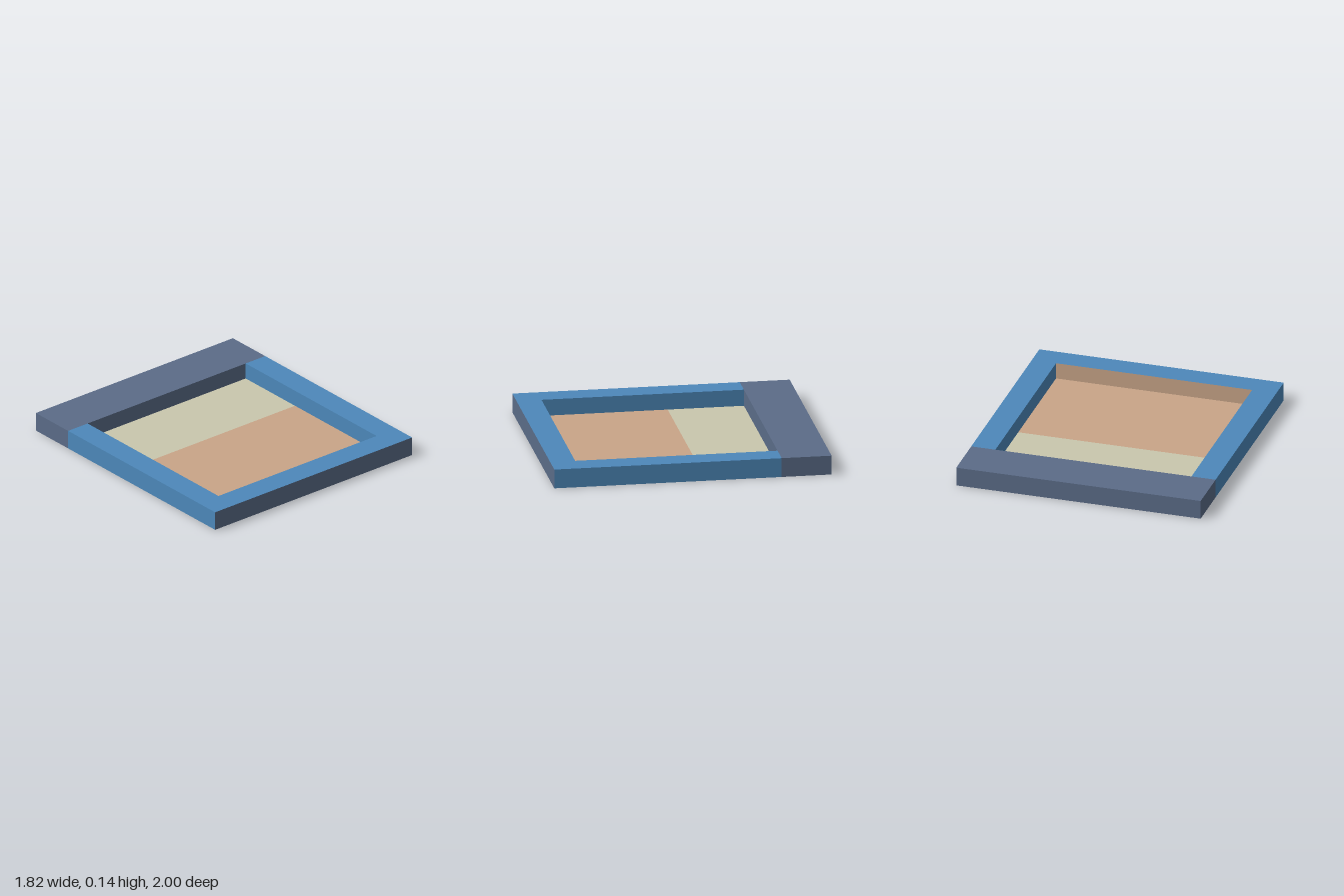
import * as THREE from 'three';

const mat = (name, color) => {
  const m = new THREE.MeshStandardMaterial({ color, side: THREE.DoubleSide });
  m.name = name;
  return m;
};

export function createModel() {
  const group = new THREE.Group();
  const blue = mat('blue', 0x4d88ba);
  const slate = mat('slate', 0x5b6c88);
  const cream = mat('cream', 0xc9c7ae);
  const tan = mat('tan', 0xc9a588);

  // Outer half width, inner half width, rim height, basin floor height
  const X = 0.91, XI = 0.73, H = 0.14, F = 0.02;
  // Depth positions: back, inner back, floor seam, inner front, front
  const ZB = -1, ZIB = -0.64, ZS = -0.09, ZIF = 0.82, ZF = 1;

  const add = (name, geometry, material) => {
    const mesh = new THREE.Mesh(geometry, material);
    mesh.name = name;
    group.add(mesh);
  };

  // Horizontal sheet facing up
  const sheet = (name, m, x0, x1, z0, z1, y) =>
    add(name, new THREE.PlaneGeometry(x1 - x0, z1 - z0).rotateX(-Math.PI / 2)
      .translate((x0 + x1) / 2, y, (z0 + z1) / 2), m);

  // Wall across x, facing dir along z
  const wallX = (name, m, halfW, z, y0, dir) =>
    add(name, new THREE.PlaneGeometry(halfW * 2, H - y0).rotateY(dir > 0 ? 0 : Math.PI)
      .translate(0, (y0 + H) / 2, z), m);

  // Wall along z, facing dir along x
  const wallZ = (name, m, x, z0, z1, y0, dir) =>
    add(name, new THREE.PlaneGeometry(z1 - z0, H - y0).rotateY(dir * Math.PI / 2)
      .translate(x, (y0 + H) / 2, (z0 + z1) / 2), m);

  // Rim top
  sheet('rimBack', slate, -X, X, ZB, ZIB, H);
  sheet('rimFront', blue, -X, X, ZIF, ZF, H);
  sheet('rimLeft', blue, XI, X, ZIB, ZIF, H);
  sheet('rimRight', blue, -X, -XI, ZIB, ZIF, H);

  // Outer skirt, open underneath
  wallX('skirtFront', slate, X, ZF, 0, 1);
  wallX('skirtBack', slate, X, ZB, 0, -1);

  // Mirrored side walls
  for (const [side, s] of [['Left', 1], ['Right', -1]]) {
    wallZ('skirt' + side, blue, s * X, ZIB, ZF, 0, s);
    wallZ('skirtRear' + side, slate, s * X, ZB, ZIB, 0, s);
    wallZ('basinWall' + side, blue, s * XI, ZIB, ZIF, F, -s);
  }

  // Sunken basin
  wallX('basinWallBack', slate, XI, ZIB, F, 1);
  wallX('basinWallFront', tan, XI, ZIF, F, -1);
  sheet('floorBack', cream, -XI, XI, ZIB, ZS, F);
  sheet('floorFront', tan, -XI, XI, ZS, ZIF, F);

  return group;
}
